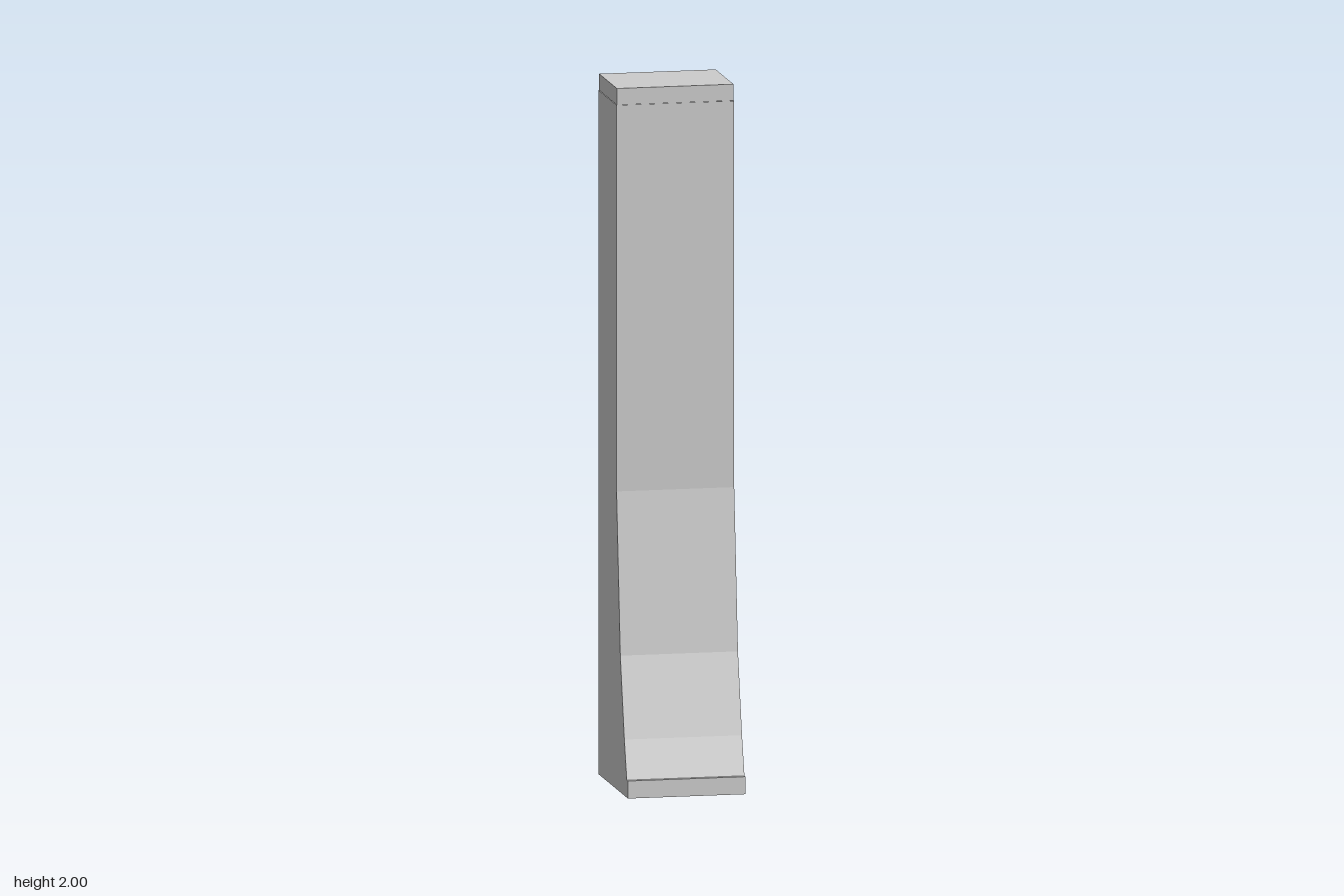
import * as THREE from 'three';

const HALF = 0.169; // half width
const CAP_Y = 1.953; // where the shaft ends and the cap begins

// Front edge of the shaft as [z, y], from foot to top
const FRONT = [
  [0.2, 0], [0.2, 0.05], [0.185, 0.05], [0.152, 0.16],
  [0.097, 0.39], [0.046, 0.85], [0.046, CAP_Y],
];
const BACK = [[-0.2, CAP_Y], [-0.2, 0]];

export function createModel() {
  const stone = new THREE.MeshStandardMaterial({ color: 0xcccccc, side: THREE.DoubleSide });
  stone.name = 'pale grey';
  const model = new THREE.Group();
  model.name = 'pillar';

  const add = (name, geometry, parent = model) => {
    const mesh = new THREE.Mesh(geometry, stone);
    mesh.name = name;
    parent.add(mesh);
    return mesh;
  };

  // Wall spanning the full width along a [z, y] path, one flat quad per step
  const wall = (path) => {
    const pos = [];
    for (let i = 0; i < path.length - 1; i++) {
      const [z0, y0] = path[i];
      const [z1, y1] = path[i + 1];
      const a = [-HALF, y0, z0], b = [HALF, y0, z0];
      const c = [HALF, y1, z1], d = [-HALF, y1, z1];
      pos.push(...a, ...b, ...c, ...a, ...c, ...d);
    }
    const g = new THREE.BufferGeometry();
    g.setAttribute('position', new THREE.Float32BufferAttribute(pos, 3));
    g.computeVertexNormals();
    return g;
  };

  // Hollow shaft, open at the foot and under the cap
  const shaft = new THREE.Group();
  shaft.name = 'shaft';
  model.add(shaft);
  add('flaredFront', wall(FRONT), shaft);
  add('back', wall(BACK), shaft);

  // Side walls: the profile turned into the yz plane, facing outwards
  for (const side of [1, -1]) {
    const outline = [...FRONT, ...BACK].map(([z, y]) => new THREE.Vector2(-side * z, y));
    const g = new THREE.ShapeGeometry(new THREE.Shape(outline));
    g.rotateY(side * Math.PI / 2);
    g.translate(side * HALF, 0, 0);
    add(side > 0 ? 'leftSide' : 'rightSide', g, shaft);
  }

  // Slightly inset cap slab
  const cap = add('cap', new THREE.BoxGeometry(0.335, 2 - CAP_Y, 0.241));
  cap.position.set(0, (2 + CAP_Y) / 2, -0.0775);

  return model;
}
